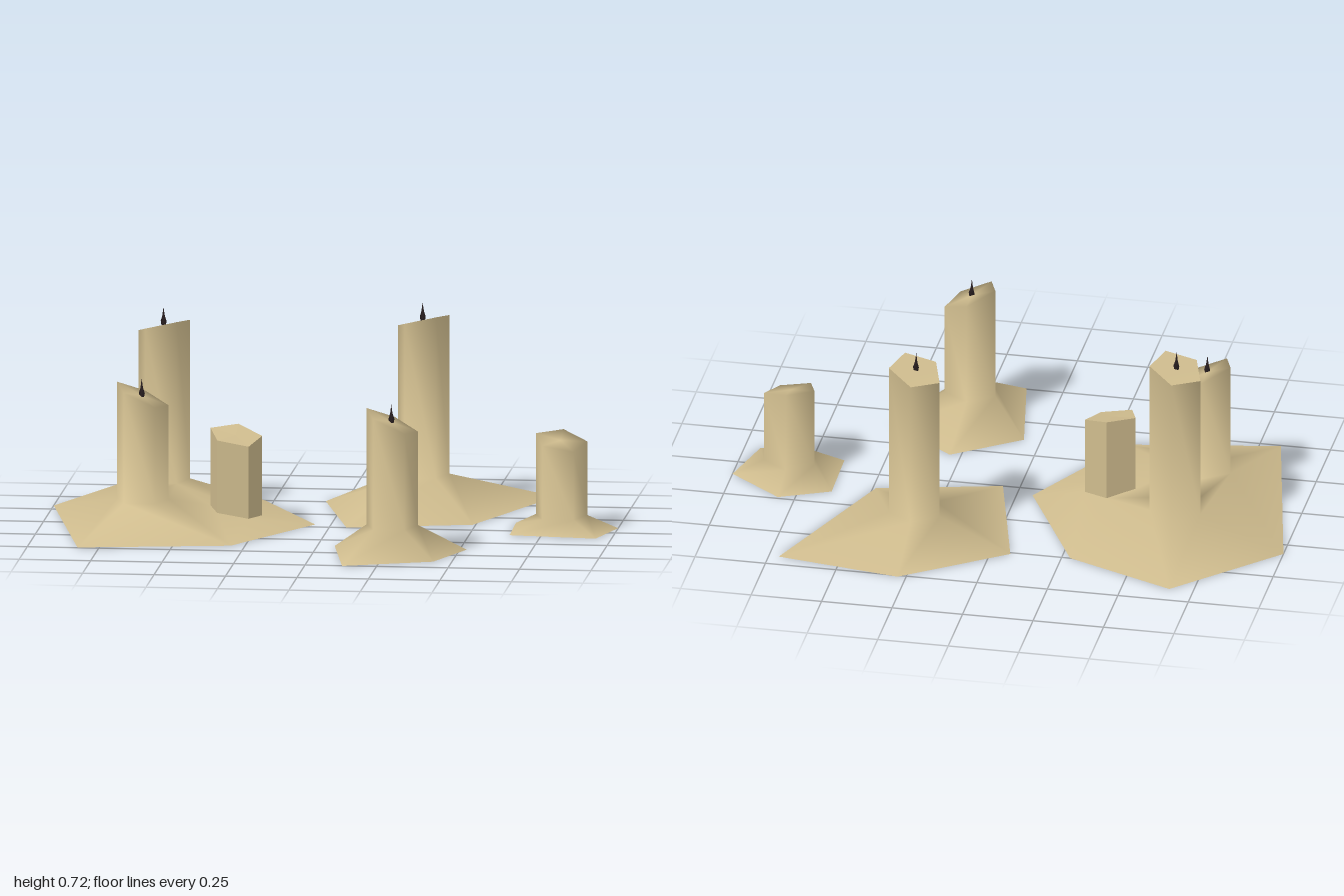
import * as THREE from 'three';

const wax = new THREE.MeshStandardMaterial({ color: 0xcfbc8e, side: THREE.DoubleSide });
const wickBlack = new THREE.MeshStandardMaterial({ color: 0x2a2022 });

// Pentagon section: back, right, front right, front left, left
const SECTION = [[0, -0.093], [0.09, -0.03], [0.055, 0.079], [-0.055, 0.079], [-0.09, -0.03]];
// Slanted top heights, in the same corner order
const TALL = [0.635, 0.67, 0.68, 0.655, 0.63];
const MEDIUM = [0.47, 0.43, 0.44, 0.49, 0.51];
const SHORT = [0.34, 0.31, 0.29, 0.31, 0.335];

const ring = (x, z, height) => SECTION.map(([dx, dz]) => [x + dx, height(dx), z + dz]);
const flat = (outline) => outline.map(([x, z]) => [x, 0, z]);

// Collects shared points and triangles, then makes a smooth or faceted mesh
class Surface {
  constructor() {
    this.points = [];
    this.index = [];
  }
  add(points) {
    return points.map((p) => this.points.push(p) - 1);
  }
  // Triangle turned so that it faces up
  up(a, b, c) {
    const [p, q, r] = [a, b, c].map((i) => this.points[i]);
    const ny = (q[2] - p[2]) * (r[0] - p[0]) - (q[0] - p[0]) * (r[2] - p[2]);
    this.index.push(...(ny > 0 ? [a, b, c] : [a, c, b]));
  }
  // Candle walls rising from a base ring, closed by a slanted top
  candle(base, heights, softTop) {
    const rim = base.map((i, k) => [this.points[i][0], heights[k], this.points[i][2]]);
    const top = this.add(rim);
    const cap = softTop ? top : this.add(rim);
    const middle = [0, 1, 2].map((axis) => rim.reduce((sum, p) => sum + p[axis], 0) / 5);
    const [centre] = this.add([middle]);
    for (let i = 0; i < 5; i++) {
      const j = (i + 1) % 5;
      this.index.push(base[i], top[i], top[j], base[i], top[j], base[j]);
      this.up(cap[i], cap[j], centre);
    }
  }
  mesh(name, faceted = false) {
    let geometry = new THREE.BufferGeometry();
    geometry.setAttribute('position', new THREE.Float32BufferAttribute(this.points.flat(), 3));
    geometry.setIndex(this.index);
    if (faceted) geometry = geometry.toNonIndexed();
    geometry.computeVertexNormals();
    const mesh = new THREE.Mesh(geometry, wax);
    mesh.name = name;
    return mesh;
  }
}

// Three-sided wick, tapering to a point
function wick(x, z, bottom, tip) {
  const h = tip - bottom;
  const profile = [[0.006, 0], [0.012, h * 0.35], [0.005, h * 0.6], [0, h]]
    .map(([r, y]) => new THREE.Vector2(r, y));
  const mesh = new THREE.Mesh(new THREE.LatheGeometry(profile, 3), wickBlack);
  mesh.position.set(x, bottom, z);
  mesh.name = 'wick';
  return mesh;
}

// One candle standing in its own five-cornered pool of wax
function singleCandle(name, x, z, baseY, heights, softTop, outline) {
  const surface = new Surface();
  const edge = surface.add(flat(outline));
  const base = surface.add(ring(x, z, () => baseY));
  for (let i = 0; i < 5; i++) {
    const j = (i + 1) % 5;
    surface.up(edge[i], edge[j], base[i]);
    surface.up(edge[j], base[j], base[i]);
  }
  surface.candle(base, heights, softTop);
  return surface.mesh(name);
}

export function createModel() {
  const group = new THREE.Group();

  // Large shared pool: O = outline, A = tall, B = medium, C = short candle
  const pool = new Surface();
  const shortBase = ring(-0.33, -0.015, (dx) => 0.045 - 0.17 * dx);
  const corners = {
    O: pool.add(flat([[-0.665, -0.665], [-0.28, -0.5], [-0.055, -0.05],
      [-0.3, 0.4], [-0.825, 0.495], [-1, -0.32]])),
    A: pool.add(ring(-0.61, -0.265, () => 0.11)),
    B: pool.add(ring(-0.645, 0.09, () => 0.1)),
    C: pool.add(shortBase),
  };
  const triangles = 'O5A4O0 A4A0O0 O0A0A1 O0A1O1 O1A1C0 O1C0C1 O1C1O2 O2C1C2 O2C2O3 O3C2C3 ' +
    'O3C3B1 O3B1B2 O3B2B3 O3B3O4 O4B3B4 O4B4O5 O5B4A4 A4B4A3 A3B4B0 A3B0A2 A2B0B1 ' +
    'A1A2C0 A2C4C0 A2B1C4 B1C3C4';
  for (const t of triangles.split(' ')) {
    pool.up(...t.match(/../g).map(([ringName, i]) => corners[ringName][i]));
  }
  pool.candle(corners.A, TALL, false);
  pool.candle(corners.B, MEDIUM, true);
  group.add(pool.mesh('sharedPoolCandles'));

  // Faceted short candle in the shared pool
  const stub = new Surface();
  stub.candle(stub.add(shortBase), SHORT, false);
  group.add(stub.mesh('shortPoolCandle', true));

  // Separate candles
  group.add(
    singleCandle('tallCandle', 0.275, -0.46, 0.11, TALL, false,
      [[0.28, -0.76], [0.715, -0.69], [0.49, -0.105], [0.06, 0], [-0.07, -0.51]]),
    singleCandle('mediumCandle', 0.275, 0.51, 0.1, MEDIUM, true,
      [[0.29, 0.2], [0.525, 0.385], [0.435, 0.635], [0.13, 0.755], [0.06, 0.365]]),
    singleCandle('shortCandle', 0.805, -0.035, 0.05, SHORT, true,
      [[0.81, -0.24], [1, -0.095], [0.945, 0.12], [0.64, 0.085], [0.635, -0.16]]),
  );

  // Wicks on the tall and medium candles
  for (const [x, z] of [[-0.61, -0.265], [0.275, -0.455]]) group.add(wick(x, z, 0.64, 0.72));
  for (const [x, z] of [[-0.645, 0.1], [0.275, 0.515]]) group.add(wick(x, z, 0.45, 0.53));

  return group;
}
